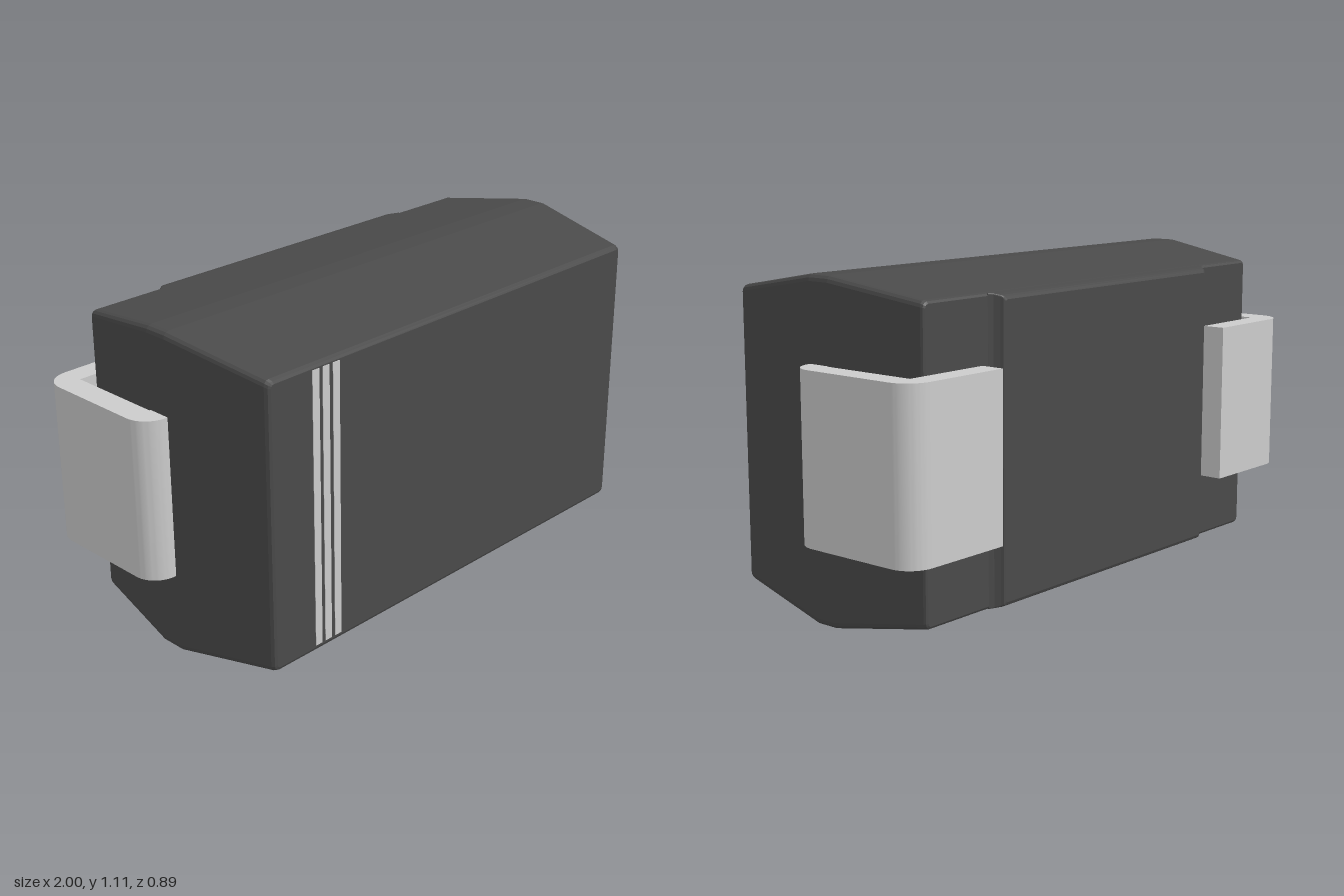
import * as THREE from 'three';
import { toCreasedNormals } from 'three/addons/utils/BufferGeometryUtils.js';

const MID_Y = 0.5525;
const dark = new THREE.MeshStandardMaterial({ color: 0x4a4a4a, flatShading: true });
const grey = new THREE.MeshStandardMaterial({ color: 0xcccccc });

// Rectangle with rounded corners, counter-clockwise seen from +z
function loop([z, hx, hy, r]) {
  const pts = [];
  [[1, 1], [-1, 1], [-1, -1], [1, -1]].forEach(([sx, sy], q) => {
    for (let k = 0; k <= 3; k++) {
      const a = (q + k / 3) * Math.PI / 2;
      pts.push([sx * (hx - r) + r * Math.cos(a), sy * (hy - r) + r * Math.sin(a), z]);
    }
  });
  return pts;
}

// Closed loft through sections [z, half width, half height, corner radius], front to back
function loft(sections) {
  const loops = sections.map(loop), n = loops[0].length, last = loops.length - 1;
  const pos = loops.flat(2), index = [];
  const front = loops.length * n, back = front + 1;
  pos.push(0, 0, sections[0][0], 0, 0, sections[last][0]);
  for (let j = 0; j < n; j++) {
    const k = (j + 1) % n;
    index.push(front, j, k, back, last * n + k, last * n + j);
    for (let i = 0; i < last; i++) {
      const a = i * n + j, b = i * n + k;
      index.push(a, a + n, b, b, a + n, b + n);
    }
  }
  const g = new THREE.BufferGeometry();
  g.setAttribute('position', new THREE.Float32BufferAttribute(pos, 3));
  g.setIndex(index);
  g.computeVertexNormals();
  return g.translate(0, MID_Y, 0);
}

// Metal strip bent into a C, drawn from above (shape y is -z) and extruded upwards
function leadGeometry(s) {
  const r = 0.085, w = 0.55, shape = new THREE.Shape();
  shape.moveTo(s * 0.86, -0.06);
  shape.lineTo(s * (1 - r), -0.06);
  shape.absarc(s * (1 - r), -0.06 + r, r, -Math.PI / 2, s > 0 ? 0 : -Math.PI, s < 0);
  shape.lineTo(s, 0.447 - r);
  shape.absarc(s * (1 - r), 0.447 - r, r, s > 0 ? 0 : Math.PI, Math.PI / 2, s < 0);
  shape.lineTo(s * 0.6, 0.447);
  shape.lineTo(s * 0.6, 0.366);
  shape.lineTo(s * 0.915, 0.366);
  shape.lineTo(s * 0.915, 0.02);
  shape.lineTo(s * 0.86, 0.02);
  const g = new THREE.ExtrudeGeometry(shape, { depth: w, bevelEnabled: false, curveSegments: 10 });
  g.rotateX(-Math.PI / 2).translate(0, MID_Y + 0.0025 - w / 2, 0);
  return toCreasedNormals(g, 0.6);
}

export function createModel() {
  const model = new THREE.Group();
  const add = (name, geometry, material) => {
    const mesh = new THREE.Mesh(geometry, material);
    mesh.name = name;
    model.add(mesh);
  };

  // Moulded case, widest in a narrow band around the middle
  add('body', loft([
    [0.445, 0.838, 0.476, 0.012],
    [0.441, 0.847, 0.485, 0.018],
    [0.43, 0.852, 0.49, 0.02],
    [0.06, 0.91, 0.5525, 0.022],
    [-0.02, 0.91, 0.5525, 0.022],
    [-0.354, 0.858, 0.498, 0.02],
    [-0.362, 0.855, 0.494, 0.018],
    [-0.366, 0.848, 0.487, 0.012],
  ]), dark);

  // Raised pad between the lead feet
  add('backPad', loft([
    [-0.35, 0.575, 0.498, 0.004],
    [-0.366, 0.575, 0.4955, 0.004],
    [-0.376, 0.56, 0.494, 0.004],
    [-0.393, 0.547, 0.49, 0.006],
    [-0.401, 0.543, 0.485, 0.006],
    [-0.405, 0.535, 0.476, 0.006],
  ]), dark);

  // Polarity bands
  [-0.66, -0.618, -0.575].forEach((x, i) => {
    add(`polarityBand${i + 1}`,
      new THREE.BoxGeometry(0.028, 0.94, 0.006).translate(x, MID_Y + 0.002, 0.444), grey);
  });

  // Leads
  add('leftLead', leadGeometry(1), grey);
  add('rightLead', leadGeometry(-1), grey);
  return model;
}
